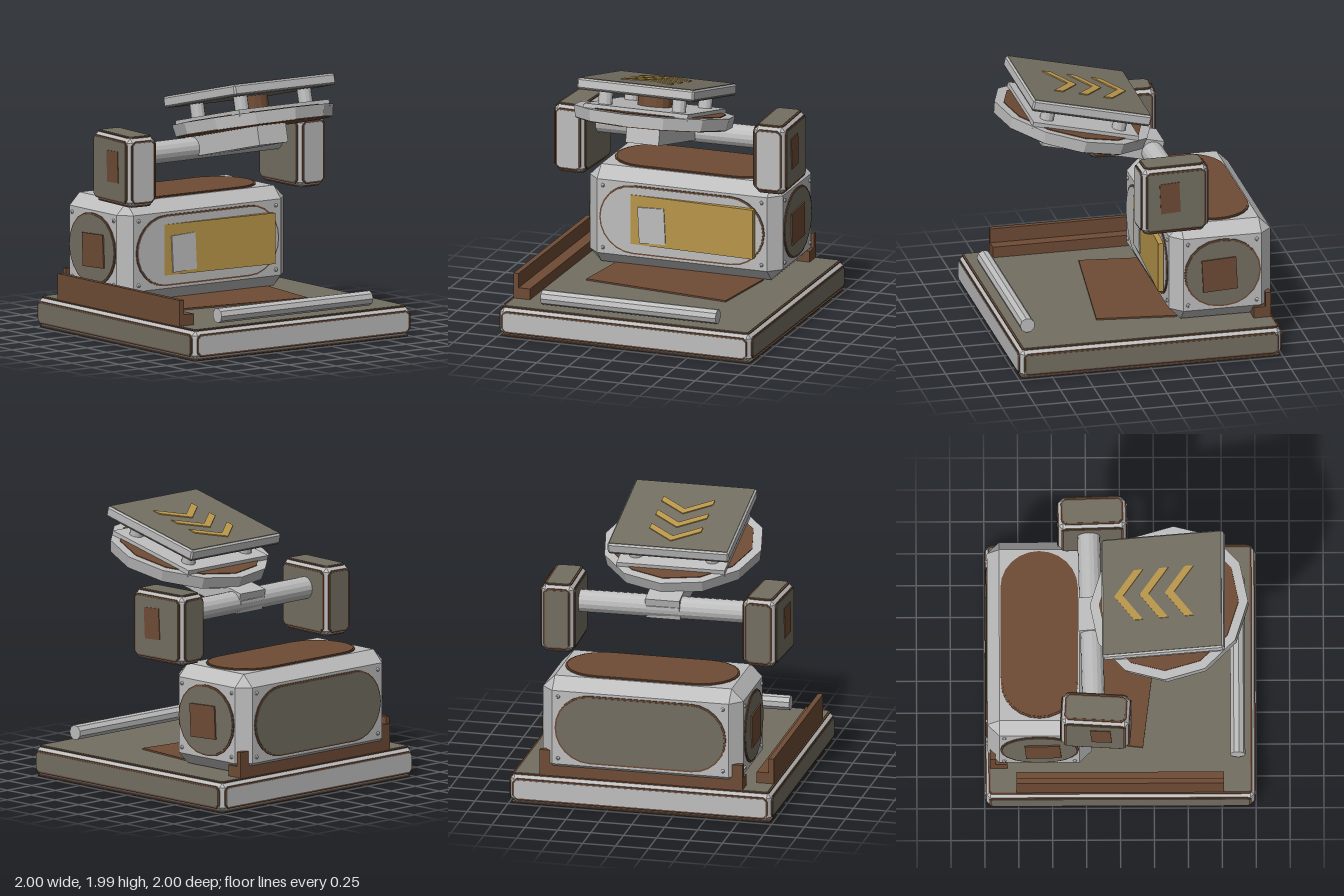
import * as THREE from 'three';
import { ConvexGeometry } from 'three/addons/geometries/ConvexGeometry.js';

const mat = (name, color) => Object.assign(new THREE.MeshStandardMaterial({ color, flatShading: true }), { name });
const GREY = mat('light grey metal', 0xbebebe);
const BROWN = mat('brown', 0x6e4b35);
const TAUPE = mat('taupe', 0x736e61);
const GOLD = mat('gold', 0xb9964a);

function add(parent, name, geometry, material, pos = [0, 0, 0], rot = [0, 0, 0]) {
  const m = new THREE.Mesh(geometry, material);
  m.name = name;
  m.position.set(...pos);
  m.rotation.set(...rot);
  parent.add(m);
  return m;
}

function group(parent, name, pos, rot = [0, 0, 0]) {
  const g = new THREE.Group();
  g.name = name;
  g.position.set(...pos);
  g.rotation.set(...rot);
  parent.add(g);
  return g;
}

const box = (w, h, d) => new THREE.BoxGeometry(w, h, d);

// Box with all twelve edges cut at 45 degrees
function chamferBox(w, h, d, c) {
  const pts = [];
  for (const x of [-1, 1]) for (const y of [-1, 1]) for (const z of [-1, 1]) {
    pts.push(new THREE.Vector3(x * w / 2, y * (h / 2 - c), z * (d / 2 - c)));
    pts.push(new THREE.Vector3(x * (w / 2 - c), y * h / 2, z * (d / 2 - c)));
    pts.push(new THREE.Vector3(x * (w / 2 - c), y * (h / 2 - c), z * d / 2));
  }
  return new ConvexGeometry(pts);
}

// Flat plate with rounded (n > 1) or cut (n = 1) corners, facing +z
function plate(w, h, r, n, depth) {
  const pts = [];
  [[1, 1], [-1, 1], [-1, -1], [1, -1]].forEach(([sx, sy], q) => {
    for (let i = 0; i <= n; i++) {
      const a = (q + i / n) * Math.PI / 2;
      pts.push(new THREE.Vector2(sx * (w / 2 - r) + r * Math.cos(a), sy * (h / 2 - r) + r * Math.sin(a)));
    }
  });
  return new THREE.ExtrudeGeometry(new THREE.Shape(pts), { depth, bevelEnabled: false });
}

// Brown rim with a coloured face standing slightly proud of it
function panel(parent, name, w, h, r, n, material, pos, rot) {
  const g = group(parent, name, pos, rot);
  add(g, name + 'Rim', plate(w, h, r, n, 0.008), BROWN);
  add(g, name + 'Face', plate(w - 0.025, h - 0.025, r - 0.0125, n, 0.012), material);
}

// Chamfered box carrying a panel on each listed side
function panelledBox(parent, name, [w, h, d], c, pos, rot, panels) {
  const g = group(parent, name, pos, rot);
  add(g, name + 'Shell', chamferBox(w, h, d, c), GREY);
  const Q = Math.PI / 2;
  const sides = {
    front: [[0, 0, d / 2], [0, 0, 0]], back: [[0, 0, -d / 2], [0, Math.PI, 0]],
    left: [[w / 2, 0, 0], [0, Q, 0]], right: [[-w / 2, 0, 0], [0, -Q, 0]],
    top: [[0, h / 2, 0], [-Q, 0, 0]], bottom: [[0, -h / 2, 0], [Q, 0, 0]],
  };
  for (const [side, pw, ph, r, n, material] of panels) {
    panel(g, side + 'Panel', pw, ph, r, n, material, ...sides[side]);
  }
  return g;
}

// L-shaped guide rail running along its local z, tall wall on -x
function rail(parent, name, length, pos, rot) {
  const g = group(parent, name, pos, rot);
  add(g, 'railWall', box(0.04, 0.2, length), BROWN, [-0.045, 0.1, 0]);
  add(g, 'railLedge', box(0.09, 0.09, length), BROWN, [0.02, 0.045, 0]);
}

export function createModel() {
  const model = new THREE.Group();
  model.name = 'machine';

  // Base slab
  panelledBox(model, 'base', [1.976, 0.21, 1.976], 0.03, [0, 0.115, 0], [0, 0, 0], [
    ['front', 1.93, 0.165, 0.03, 1, GREY], ['back', 1.93, 0.165, 0.03, 1, GREY],
    ['left', 1.93, 0.165, 0.03, 1, TAUPE], ['right', 1.93, 0.165, 0.03, 1, TAUPE],
    ['top', 1.94, 1.94, 0.02, 1, TAUPE], ['bottom', 1.96, 1.96, 0.02, 1, TAUPE],
  ]);
  add(model, 'floorMat', box(1.16, 0.015, 0.6), BROWN, [0, 0.236, -0.06], [0, -0.122, 0]);
  rail(model, 'sideRail', 1.53, [-0.895, 0.225, 0], [0, 0, 0]);
  rail(model, 'backRail', 1.54, [0, 0.225, -0.895], [0, -Math.PI / 2, 0]);
  add(model, 'frontBar', new THREE.CylinderGeometry(0.056, 0.056, 1.38, 9), GREY, [0, 0.3, 0.865], [0, 0, Math.PI / 2]);

  // Main body
  const body = panelledBox(model, 'body', [1.52, 0.75, 0.77], 0.09, [0, 0.615, -0.595], [0, 0, 0], [
    ['front', 1.3, 0.53, 0.265, 6, GREY], ['back', 1.3, 0.53, 0.265, 6, TAUPE],
    ['left', 0.58, 0.53, 0.265, 5, TAUPE], ['right', 0.58, 0.53, 0.265, 5, TAUPE],
    ['top', 1.31, 0.57, 0.285, 6, BROWN],
  ]);
  for (const s of [-1, 1]) {
    add(body, 'sideHatch', box(0.03, 0.25, 0.26), BROWN, [s * 0.768, -0.01, 0.025], [s * 0.05, 0, 0]);
  }
  const screw = new THREE.SphereGeometry(0.015, 8, 6);
  for (const a of [-1, 1]) for (const b of [-1, 1]) for (const s of [-1, 1]) {
    add(body, 'screw', screw, GREY, [a * 0.625, b * 0.24, s * 0.385]);
    add(body, 'screw', screw, GREY, [s * 0.76, b * 0.24, a * 0.26]);
  }
  add(model, 'frontDisplay', box(0.98, 0.38, 0.04), GOLD, [0.09, 0.62, -0.193], [0, -0.045, 0]);
  add(model, 'displayTile', box(0.21, 0.275, 0.03), GREY, [-0.23, 0.59, -0.193], [0, -0.03, 0.05]);

  // Side pods joined by an axle
  for (const [s, x, z, turn] of [[-1, -0.775, -0.18, -0.06], [1, 0.77, -0.205, 0.03]]) {
    const pod = panelledBox(model, s < 0 ? 'rightPod' : 'leftPod', [0.24, 0.505, 0.495], 0.03, [x, 1.275, z], [0, turn, 0], [
      ['front', 0.2, 0.465, 0.03, 1, GREY], ['back', 0.2, 0.465, 0.03, 1, TAUPE],
      ['left', 0.455, 0.465, 0.03, 1, TAUPE], ['right', 0.455, 0.465, 0.03, 1, TAUPE],
      ['top', 0.2, 0.455, 0.03, 1, TAUPE], ['bottom', 0.2, 0.455, 0.03, 1, TAUPE],
    ]);
    add(pod, 'podHatch', box(0.03, 0.235, 0.15), BROWN, [s * 0.122, 0.025, 0.045], [s * 0.05, 0, 0]);
  }
  const axle = group(model, 'axle', [0, 1.355, -0.213], [0, 0.025, 0]);
  add(axle, 'axleTube', new THREE.CylinderGeometry(0.084, 0.084, 1.32, 16), GREY, [0, 0, 0], [0, 0, Math.PI / 2]);
  add(axle, 'axleKey', box(0.25, 0.025, 0.02), GREY, [0, 0.01, -0.08]);

  // Tilted head
  const head = group(model, 'head', [0, 1.67, 0.36], [-0.23, 0, 0]);
  const disc = (r, h) => new THREE.CylinderGeometry(r, r, h, 12);
  const spin = [0, -0.06, 0];
  add(head, 'supportArm', box(0.26, 0.16, 0.92), GREY, [0, -0.16, -0.243]);
  add(head, 'dishRing', new THREE.CylinderGeometry(0.6, 0.585, 0.09, 12), GREY, [0, -0.045, 0], spin);
  add(head, 'dishTop', disc(0.53, 0.008), BROWN, [0, 0.002, 0], spin);
  add(head, 'dishUnderside', disc(0.575, 0.008), BROWN, [0, -0.092, 0], spin);
  add(head, 'mountPlate', box(0.82, 0.05, 0.82), GREY, [0, 0.008, 0]);
  add(head, 'hub', new THREE.CylinderGeometry(0.13, 0.13, 0.11, 16), BROWN, [0, 0.085, 0]);
  for (const x of [-0.29, 0.29]) for (const z of [-0.28, 0.28]) {
    add(head, 'post', new THREE.CylinderGeometry(0.053, 0.053, 0.11, 12), GREY, [x, 0.085, z]);
  }

  // Top plate with chevrons
  add(head, 'topPlate', chamferBox(0.92, 0.08, 0.92, 0.012), GREY, [0, 0.178, 0]);
  add(head, 'topPlateSurface', box(0.896, 0.008, 0.896), TAUPE, [0, 0.218, 0]);
  add(head, 'topPlateUnderside', box(0.9, 0.008, 0.9), TAUPE, [0, 0.137, 0]);
  const chevron = new THREE.Shape([[0, 0], [-0.195, -0.15], [-0.195, -0.217], [0, -0.067], [0.195, -0.217], [0.195, -0.15]]
    .map(([x, y]) => new THREE.Vector2(x, y)));
  const chevronGeometry = new THREE.ExtrudeGeometry(chevron, { depth: 0.009, bevelEnabled: false });
  for (let i = 0; i < 3; i++) {
    add(head, 'chevron', chevronGeometry, GOLD, [0, 0.221, -0.36 + i * 0.192], [-Math.PI / 2, 0, 0]);
  }
  return model;
}
